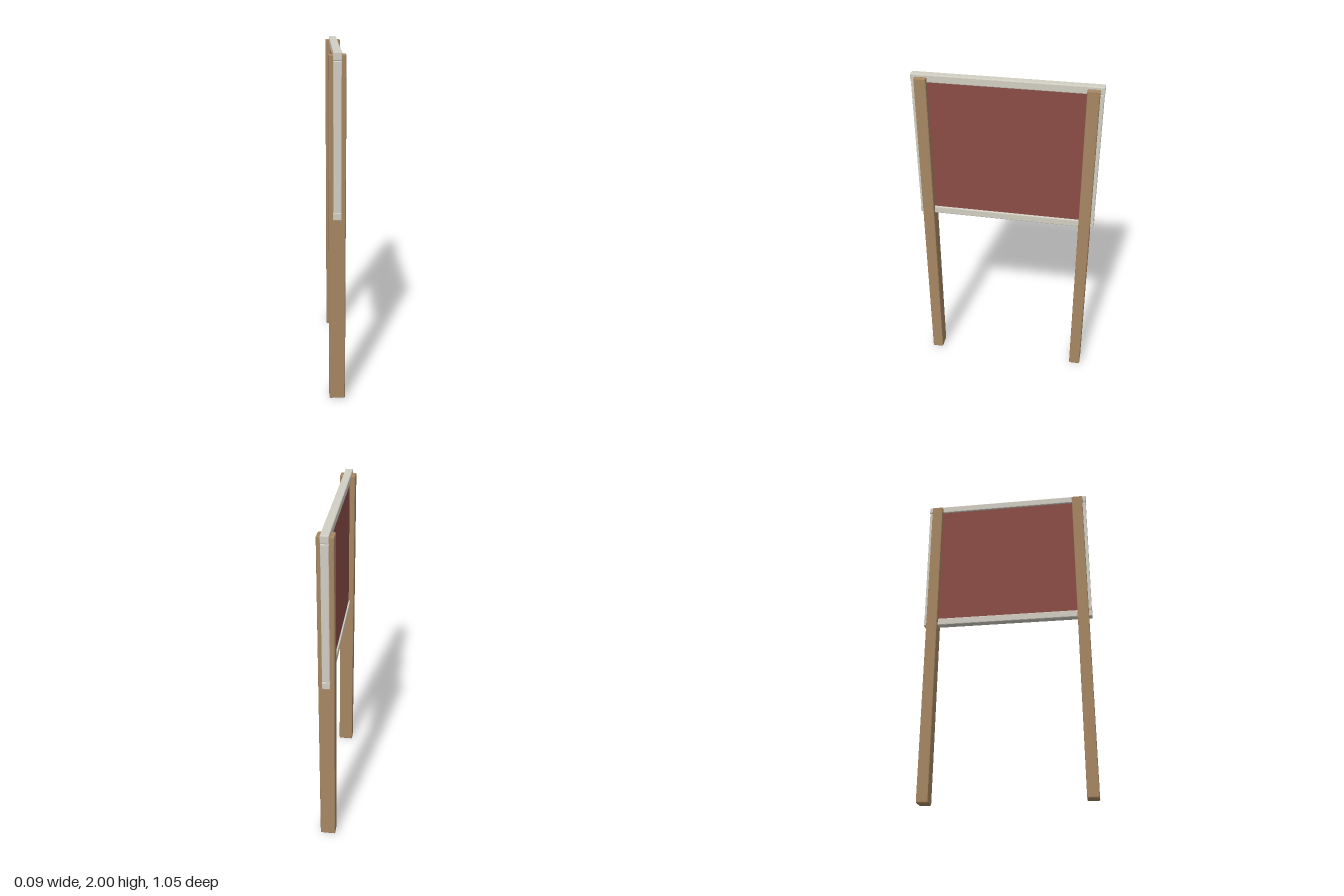
import * as THREE from 'three';
import { RoundedBoxGeometry } from 'three/addons/geometries/RoundedBoxGeometry.js';

const material = (name, color) => {
  const m = new THREE.MeshStandardMaterial({ color });
  m.name = name;
  return m;
};

// Box with small flat chamfers on every edge
function chamferBox(w, h, d, r) {
  const g = new RoundedBoxGeometry(w, h, d, 1, r);
  g.computeVertexNormals();
  return g;
}

export function createModel() {
  const group = new THREE.Group();
  const wood = material('wood', 0xa68662);
  const trim = material('pale trim', 0xd2cec3);
  const red = material('dull red', 0x8b4d46);

  const add = (name, geometry, mat, y = 0, z = 0) => {
    const mesh = new THREE.Mesh(geometry, mat);
    mesh.name = name;
    mesh.position.set(0, y, z);
    group.add(mesh);
  };

  for (const [side, s] of [['front', 1], ['back', -1]]) {
    // Post leaning slightly inwards towards the top
    const post = chamferBox(0.092, 1.985, 0.069, 0.006);
    post.translate(0, 0.9925, 0);
    const p = post.attributes.position;
    for (let i = 0; i < p.count; i++) {
      p.setZ(i, p.getZ(i) + s * (0.476 - 0.0037 * p.getY(i)));
    }
    post.computeVertexNormals();
    add(side + 'Post', post, wood);

    // Upright of the board frame
    add(side + 'FrameUpright', chamferBox(0.044, 0.8, 0.045, 0.005), trim, 1.555, s * 0.5025);
  }

  // Rails above and below the board
  add('topRail', chamferBox(0.046, 0.045, 1.054, 0.005), trim, 1.9775);
  add('bottomRail', chamferBox(0.046, 0.045, 1.054, 0.005), trim, 1.1325);

  // Board panel
  add('panel', new THREE.BoxGeometry(0.026, 0.81, 0.97), red, 1.555);

  return group;
}
